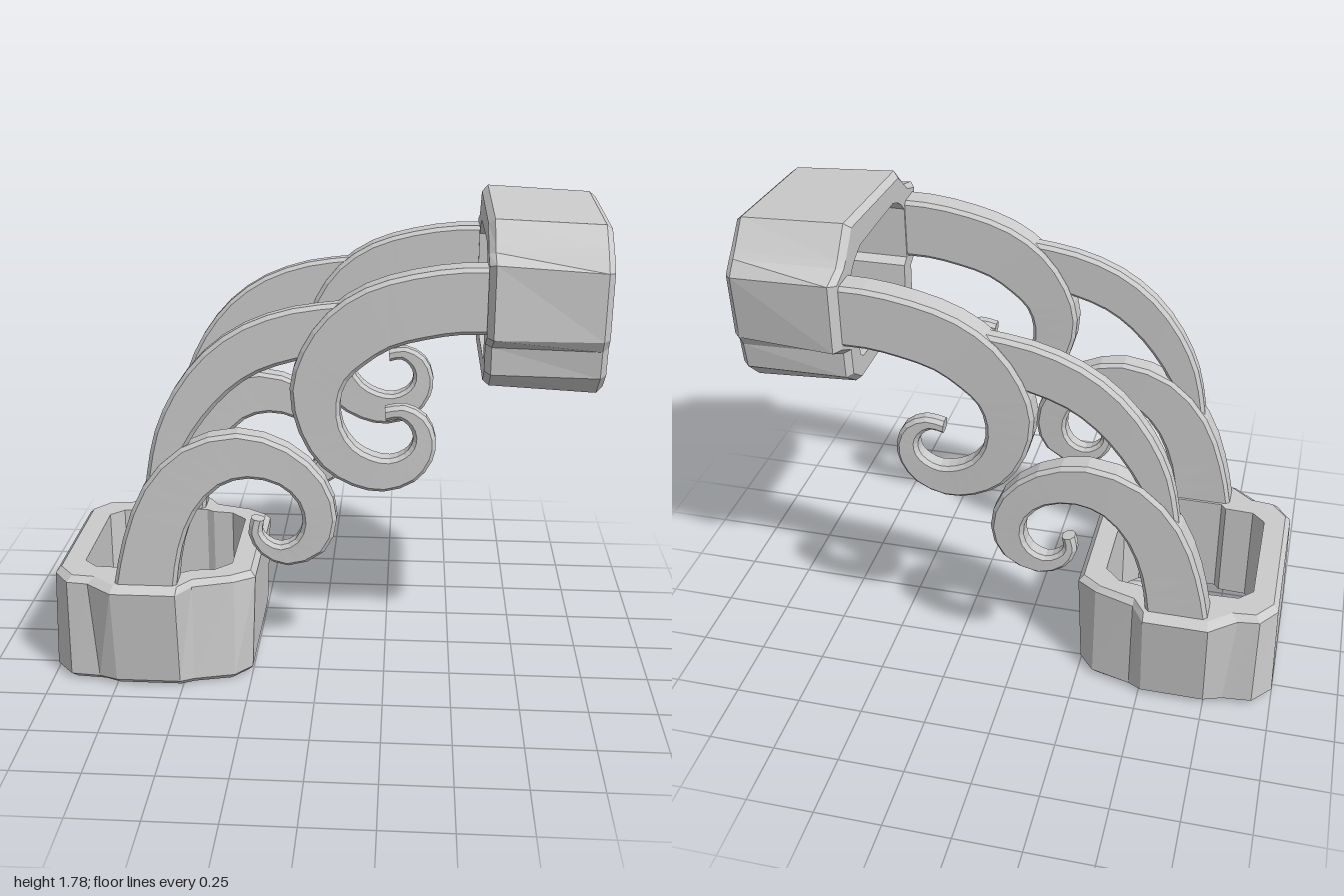
import * as THREE from 'three';

const material = new THREE.MeshStandardMaterial({ color: 0xcccccc, flatShading: true, side: THREE.DoubleSide });

// Skin a list of equal-length loops; either wrap the last loop to the first or cap both ends.
function loft(loops, wrap, name) {
  const n = loops[0].length, m = loops.length;
  const pts = loops.flat();
  const index = [];
  for (let r = 0; r < (wrap ? m : m - 1); r++) {
    for (let k = 0; k < n; k++) {
      const a = r * n + k, b = r * n + (k + 1) % n;
      const c = ((r + 1) % m) * n + k, d = ((r + 1) % m) * n + (k + 1) % n;
      index.push(a, b, d, a, d, c);
    }
  }
  if (!wrap) {
    const e = (m - 1) * n;
    for (let k = 1; k < n - 1; k++) index.push(0, k + 1, k, e, e + k, e + k + 1);
  }
  // Turn the faces outward using the signed volume
  let volume = 0;
  const cross = new THREE.Vector3();
  for (let i = 0; i < index.length; i += 3) {
    volume += pts[index[i]].dot(cross.crossVectors(pts[index[i + 1]], pts[index[i + 2]]));
  }
  if (volume < 0) index.reverse();
  const geometry = new THREE.BufferGeometry().setFromPoints(pts);
  geometry.setIndex(index);
  const flat = geometry.toNonIndexed();
  flat.computeVertexNormals();
  const mesh = new THREE.Mesh(flat, material);
  mesh.name = name;
  return mesh;
}

// Hollow socket: half outlines [z, u] at two heights along its axis, mirrored across z.
function socket(near, far, hole, h0, h1, place, name) {
  const full = (half) => [...half, ...half.slice().reverse().map(([z, u]) => [-z, u])];
  const [a, b, c] = [near, far, hole].map(full);
  const inset = (outline, t) => outline.map(([z, u], i) => [z + (c[i][0] - z) * t, u + (c[i][1] - u) * t]);
  const at = (outline, h) => outline.map(([z, u]) => place(z, u, h));
  const bevel = Math.sign(h1 - h0) * 0.022;
  return loft([
    at(inset(a, 0.2), h0), at(a, h0 + bevel),
    at(b, h1 - bevel), at(inset(b, 0.2), h1),
    at(c, h1), at(c, h0),
  ], true, name);
}

// Flat bevelled strap between an outer and an inner edge, tapering in thickness.
function strap(outer, inner, t0, t1, z, name) {
  const curve = (p) => new THREE.CatmullRomCurve3(p.map(([x, y]) => new THREE.Vector3(x, y, 0)));
  const steps = (outer.length - 1) * 2;
  const o = curve(outer), n = curve(inner);
  const loops = [];
  for (let i = 0; i <= steps; i++) {
    const s = i / steps;
    const p = o.getPoint(s), q = n.getPoint(s);
    const half = (t0 + (t1 - t0) * s) / 2;
    const bevel = Math.min(0.014, half * 0.5);
    const f = bevel / p.distanceTo(q);
    const section = [
      [0, half - bevel], [f, half], [1 - f, half], [1, half - bevel],
      [1, bevel - half], [1 - f, -half], [f, -half], [0, bevel - half],
    ];
    loops.push(section.map(([w, d]) => p.clone().lerp(q, w).setZ(z + d)));
  }
  return loft(loops, false, name);
}

// Edge points run from the socket end to the curled tip
const lowerOuter = [[-.76, .3], [-.74, .42], [-.7, .6], [-.62, .8], [-.48, .95], [-.28, 1.01], [-.1, .96],
  [.03, .84], [.075, .69], [.03, .56], [-.1, .5], [-.2, .54], [-.245, .62], [-.235, .68]];
const lowerInner = [[-.52, .3], [-.51, .42], [-.485, .57], [-.43, .71], [-.34, .81], [-.24, .84], [-.13, .815],
  [-.065, .75], [-.048, .67], [-.075, .605], [-.13, .58], [-.175, .6], [-.195, .63], [-.188, .672]];
const upperOuter = [[.66, 1.615], [.5, 1.615], [.33, 1.59], [.17, 1.54], [.04, 1.45], [-.05, 1.32], [-.09, 1.18],
  [-.06, 1.02], [.02, .89], [.13, .82], [.24, .8], [.35, .84], [.41, .92], [.42, 1], [.385, 1.08], [.31, 1.12], [.24, 1.11]];
const upperInner = [[.66, 1.385], [.5, 1.385], [.38, 1.365], [.26, 1.33], [.17, 1.27], [.11, 1.21], [.085, 1.13],
  [.095, 1.04], [.14, .97], [.2, .935], [.26, .925], [.31, .945], [.335, .975], [.34, 1.01], [.325, 1.045], [.29, 1.07], [.245, 1.06]];
const archOuter = [[-.62, .74], [-.605, .85], [-.57, 1.01], [-.5, 1.16], [-.39, 1.3], [-.25, 1.4], [-.08, 1.46], [.1, 1.485]];
const archInner = [[-.53, .74], [-.5, .85], [-.46, .95], [-.39, 1.06], [-.3, 1.16], [-.2, 1.23], [-.07, 1.275], [.06, 1.3]];

export function createModel() {
  const model = new THREE.Group();

  // Upright socket at the foot
  model.add(socket(
    [[.3, -1], [.38, -.93], [.39, -.82], [.415, -.75], [.415, -.51], [.39, -.46], [.35, -.31], [.28, -.25]],
    [[.29, -.99], [.37, -.93], [.38, -.85], [.46, -.75], [.46, -.51], [.38, -.46], [.33, -.31], [.28, -.235]],
    [[.22, -.89], [.27, -.84], [.275, -.73], [.3, -.71], [.3, -.5], [.28, -.47], [.27, -.39], [.21, -.33]],
    0, .42, (z, u, h) => new THREE.Vector3(u, h, z), 'lowerSocket'));

  // Sideways socket at the top, its roof leaning slightly
  model.add(socket(
    [[.27, 1.145], [.35, 1.22], [.365, 1.32], [.39, 1.36], [.405, 1.6], [.36, 1.65], [.34, 1.67], [.26, 1.75]],
    [[.27, 1.165], [.36, 1.23], [.365, 1.33], [.46, 1.38], [.46, 1.635], [.37, 1.66], [.35, 1.68], [.27, 1.768]],
    [[.23, 1.25], [.26, 1.27], [.265, 1.37], [.3, 1.39], [.3, 1.59], [.27, 1.62], [.24, 1.64], [.18, 1.665]],
    1, .58, (z, u, h) => new THREE.Vector3(h, u > 1.7 ? u - .05 * z : u, z), 'upperSocket'));

  // Scrolled bracket on each side
  for (const [side, z] of [['front', .365], ['back', -.365]]) {
    const bracket = new THREE.Group();
    bracket.name = side + 'Bracket';
    bracket.add(
      strap(lowerOuter, lowerInner, .115, .055, z, 'lowerScroll'),
      strap(upperOuter, upperInner, .115, .055, z, 'upperScroll'),
      strap(archOuter, archInner, .07, .065, z, 'arch'));
    model.add(bracket);
  }
  return model;
}
